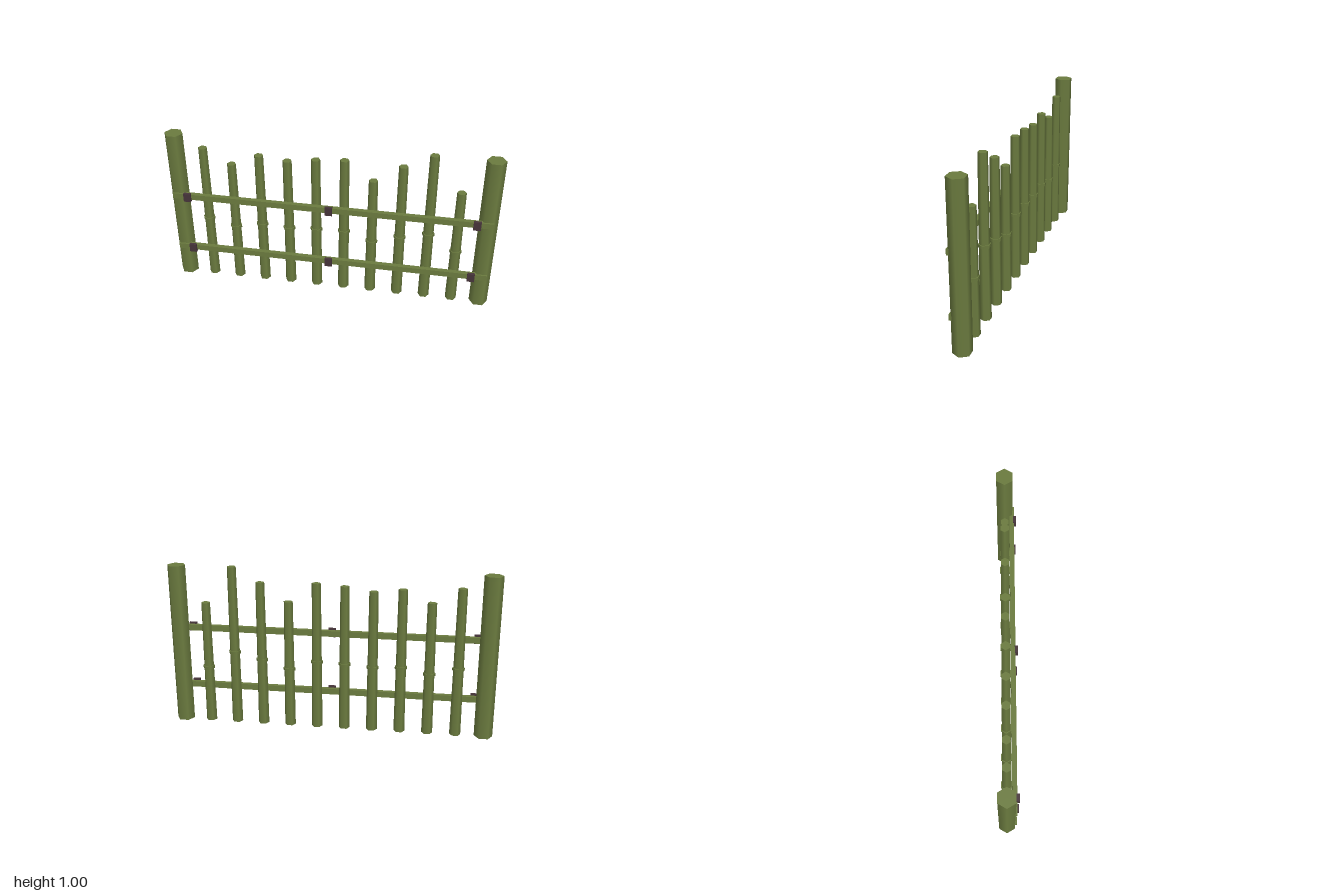
import * as THREE from 'three';

export function createModel() {
  const group = new THREE.Group();
  group.name = 'bambooFence';

  const bamboo = new THREE.MeshStandardMaterial({ color: 0x6b7b3f });
  bamboo.name = 'bambooGreen';
  const binding = new THREE.MeshStandardMaterial({ color: 0x46343a });
  binding.name = 'darkBinding';

  const poleZ = -0.011;

  const add = (name, geometry, material, x, y, z) => {
    const mesh = new THREE.Mesh(geometry, material);
    mesh.name = name;
    mesh.position.set(x, y, z);
    group.add(mesh);
  };

  // Six-sided pole with its corners along x
  const hexPole = (rTop, rBottom, height) =>
    new THREE.CylinderGeometry(rTop, rBottom, height, 6, 1, false, Math.PI / 6);

  // End posts
  for (const side of [-1, 1]) {
    add(side > 0 ? 'leftPost' : 'rightPost', hexPole(0.056, 0.056, 1.005), bamboo, side * 0.944, 0.5025, poleZ);
  }

  // Tapered pickets, each with a raised joint ring
  const heights = [0.922, 0.83, 0.904, 0.885, 0.91, 0.922, 0.803, 0.915, 1.005, 0.776];
  heights.forEach((h, i) => {
    const x = (i - 4.5) * 0.1717;
    add('picket' + (i + 1), hexPole(0.0275, 0.034, h), bamboo, x, h / 2, poleZ);
    add('picketJoint' + (i + 1), hexPole(0.037, 0.037, 0.018), bamboo, x, h * 0.463, poleZ);
  });

  // Rails across the front, with dark bindings
  for (const [label, y] of [['lower', 0.22], ['upper', 0.599]]) {
    add(label + 'Rail', new THREE.BoxGeometry(1.95, 0.036, 0.028), bamboo, 0, y, 0.034);
    [-0.88, 0, 0.88].forEach((x, i) => {
      add(label + 'Binding' + (i + 1), new THREE.BoxGeometry(0.045, 0.055, 0.018), binding, x, y, 0.0525);
    });
  }

  return group;
}
